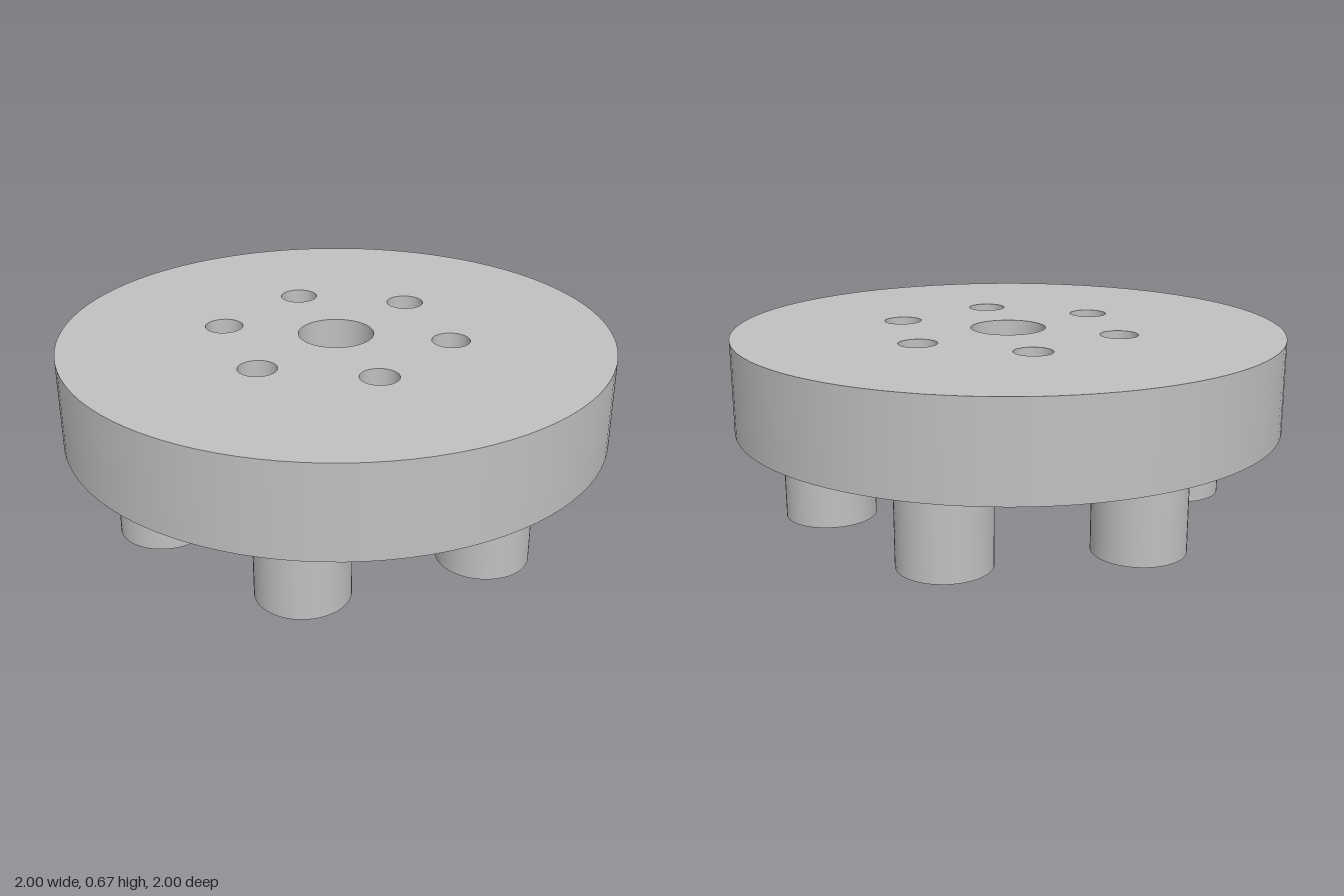
import * as THREE from 'three';
import { mergeGeometries } from 'three/addons/utils/BufferGeometryUtils.js';

const TOP = 0.67, BASE = 0.335, POCKET = 0.5; // disc top, underside, nut pocket ceiling
const BORE_R = 0.137, HEX_R = 0.254, HOLE_R = 0.069, PEG_R = 0.165;

// Six evenly spaced positions on a circle
const ring = (radius, offset) => Array.from({ length: 6 }, (_, i) => {
  const a = offset + i * Math.PI / 3;
  return [radius * Math.cos(a), radius * Math.sin(a)];
});
const holeSpots = ring(0.417, Math.PI / 6);
const pegSpots = ring(0.667, 0);

// Regular outline, a circle or a hexagon
const outline = (r, n, [x, y] = [0, 0]) => Array.from({ length: n }, (_, i) => {
  const a = i * 2 * Math.PI / n;
  return new THREE.Vector2(x + r * Math.cos(a), y + r * Math.sin(a));
});

// Flat horizontal face with cut-outs, looking up or down
function face(outer, holes, y, up) {
  const shape = new THREE.Shape(outer);
  shape.holes = holes.map((h) => new THREE.Path(h));
  return new THREE.ShapeGeometry(shape).rotateX(up ? -Math.PI / 2 : Math.PI / 2)
    .translate(0, y, 0).toNonIndexed();
}

// Upright wall between two heights; inward walls line holes
function wall(r, y0, y1, n, [x, z] = [0, 0], inward = false) {
  const g = new THREE.CylinderGeometry(r, r, y1 - y0, n, 1, true);
  if (n === 6) g.rotateY(Math.PI / 6);
  g.translate(x, (y0 + y1) / 2, z);
  if (inward) {
    g.index.array.reverse();
    const normals = g.attributes.normal.array;
    for (let i = 0; i < normals.length; i++) normals[i] *= -1;
  }
  const out = g.toNonIndexed();
  if (n === 6) out.computeVertexNormals(); // crisp hexagon corners
  return out;
}

export function createModel() {
  const model = new THREE.Group();
  model.name = 'peggedDisc';
  const grey = new THREE.MeshStandardMaterial({ color: 0xc0c0c0 });
  grey.name = 'grey';
  const add = (name, parts) => {
    const mesh = new THREE.Mesh(mergeGeometries(parts), grey);
    mesh.name = name;
    model.add(mesh);
  };

  // Disc with bolt holes, and openings underneath for pocket and pegs
  const boltCuts = holeSpots.map((p) => outline(HOLE_R, 32, p));
  const pegCuts = pegSpots.map((p) => outline(PEG_R, 48, p));
  const rim = outline(1, 96);
  add('disc', [
    wall(1, BASE, TOP, 96),
    face(rim, [outline(BORE_R, 48), ...boltCuts], TOP, true),
    face(rim, [outline(HEX_R, 6), ...boltCuts, ...pegCuts], BASE, false),
  ]);

  // Round bore from above, opening into a hexagonal nut pocket below
  add('centreBore', [wall(BORE_R, POCKET, TOP, 48, [0, 0], true)]);
  add('hexPocket', [
    wall(HEX_R, BASE, POCKET, 6, [0, 0], true),
    face(outline(HEX_R, 6), [outline(BORE_R, 48)], POCKET, false),
  ]);
  add('boltHoles', holeSpots.map((p) => wall(HOLE_R, BASE, TOP, 32, p, true)));

  // Pegs standing under the disc
  pegSpots.forEach((p, i) => add(`peg${i + 1}`, [
    wall(PEG_R, 0, BASE, 48, p),
    face(outline(PEG_R, 48, p), [], 0, false),
  ]));
  return model;
}
